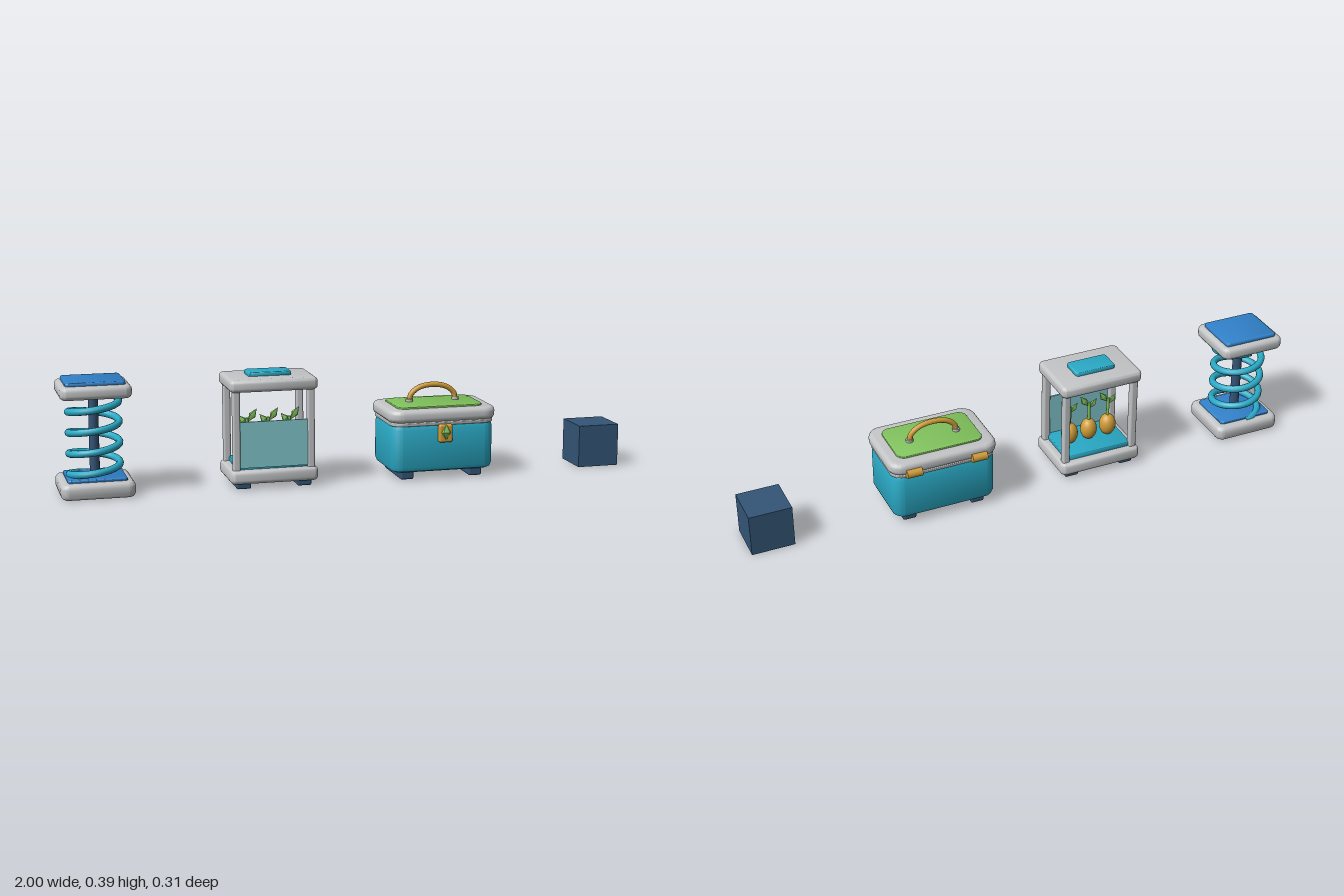
import * as THREE from 'three';
import { toCreasedNormals } from 'three/addons/utils/BufferGeometryUtils.js';
import { RoundedBoxGeometry } from 'three/addons/geometries/RoundedBoxGeometry.js';

const material = (name, color, side = THREE.FrontSide) => {
  const m = new THREE.MeshStandardMaterial({ color, side });
  m.name = name;
  return m;
};

export function createModel() {
  const grey = material('light grey', 0xc3c5c6);
  const teal = material('teal', 0x2aaac6);
  const blue = material('blue', 0x3080c8);
  const navy = material('navy', 0x345576);
  const green = material('leaf green', 0x80c25c);
  const gold = material('gold', 0xd09c38);
  const glass = material('pale glass', 0x82c8ce, THREE.DoubleSide);

  const model = new THREE.Group();
  const prop = (name, x) => {
    const g = new THREE.Group();
    g.name = name;
    g.position.set(x, 0, -0.0035);
    model.add(g);
    return g;
  };
  const add = (parent, name, geometry, mat, x = 0, y = 0, z = 0) => {
    const mesh = new THREE.Mesh(geometry, mat);
    mesh.name = name;
    mesh.position.set(x, y, z);
    parent.add(mesh);
    return mesh;
  };

  // Horizontal slab with rounded corners (r) and bevelled rims (b)
  const slab = (parent, name, mat, w, d, y0, y1, r, b, z = 0, x = 0, segments = 4) => {
    const hw = w / 2 - b, hd = d / 2 - b, c = Math.max(r - b, 0.002);
    const s = new THREE.Shape();
    s.absarc(hw - c, hd - c, c, 0, Math.PI / 2);
    s.absarc(-hw + c, hd - c, c, Math.PI / 2, Math.PI);
    s.absarc(-hw + c, -hd + c, c, Math.PI, Math.PI * 1.5);
    s.absarc(hw - c, -hd + c, c, Math.PI * 1.5, Math.PI * 2);
    s.closePath();
    const g = new THREE.ExtrudeGeometry(s, {
      depth: y1 - y0 - 2 * b, bevelEnabled: true, bevelSize: b,
      bevelThickness: b, bevelSegments: segments, curveSegments: 6,
    });
    g.rotateX(-Math.PI / 2).translate(0, b, 0);
    return add(parent, name, toCreasedNormals(g, 0.6), mat, x, y0, z);
  };

  // Pointed, flattened leaf
  const leaf = (parent, name, w, h, t, x, y, z) => {
    const g = new THREE.SphereGeometry(1, 8, 2);
    g.scale(w / 2, h / 2, t / 2);
    return add(parent, name, toCreasedNormals(g, 0.5), green, x, y, z);
  };

  // Spring platform
  const spring = prop('springPlatform', -0.875);
  slab(spring, 'springBase', grey, 0.25, 0.228, 0, 0.055, 0.03, 0.018);
  slab(spring, 'lowerPad', blue, 0.2, 0.172, 0.05, 0.065, 0.012, 0.005);
  slab(spring, 'springTop', grey, 0.24, 0.219, 0.336, 0.381, 0.03, 0.016);
  slab(spring, 'upperPad', blue, 0.2, 0.172, 0.376, 0.393, 0.012, 0.005);
  add(spring, 'centrePost', new THREE.CylinderGeometry(0.017, 0.017, 0.275, 16), navy, 0, 0.1925, 0);
  const coilPoints = [];
  for (let i = 0; i <= 96; i++) {
    const a = Math.PI + (i / 96) * Math.PI * 8;
    coilPoints.push(new THREE.Vector3(0.085 * Math.sin(a), 0.05 + 0.285 * i / 96, 0.085 * Math.cos(a)));
  }
  add(spring, 'coil', new THREE.TubeGeometry(new THREE.CatmullRomCurve3(coilPoints), 192, 0.0125, 10), teal);

  // Display case
  const displayCase = prop('displayCase', -0.275);
  slab(displayCase, 'caseBase', grey, 0.306, 0.222, 0.02, 0.067, 0.022, 0.014);
  slab(displayCase, 'caseFloor', teal, 0.25, 0.17, 0.062, 0.083, 0.012, 0.004);
  slab(displayCase, 'caseRoof', grey, 0.306, 0.219, 0.336, 0.379, 0.022, 0.014);
  slab(displayCase, 'roofPad', teal, 0.15, 0.084, 0.374, 0.393, 0.012, 0.005, -0.006);
  for (const sx of [-1, 1]) {
    add(displayCase, 'caseFoot', new RoundedBoxGeometry(0.05, 0.03, 0.18, 2, 0.006), navy, sx * 0.106, 0.015, 0);
    for (const sz of [-1, 1]) {
      add(displayCase, 'cornerPost', new RoundedBoxGeometry(0.026, 0.29, 0.027, 2, 0.007), grey, sx * 0.13, 0.2, sz * 0.082);
    }
  }
  add(displayCase, 'frontPanel', new THREE.BoxGeometry(0.236, 0.16, 0.006), glass, 0, 0.153, 0.088);

  // Sprouting seeds inside the case
  for (const x of [-0.075, 0, 0.075]) {
    const sprout = new THREE.Group();
    sprout.name = 'sprout';
    sprout.position.set(x, 0, 0);
    displayCase.add(sprout);
    const seed = add(sprout, 'seed', new THREE.SphereGeometry(0.03, 20, 14), gold, 0, 0.122, 0);
    seed.scale.y = 1.35;
    add(sprout, 'stem', new THREE.CylinderGeometry(0.005, 0.006, 0.075, 8), green, 0, 0.192, 0);
    leaf(sprout, 'leftLeaf', 0.026, 0.055, 0.014, 0.019, 0.238, 0).rotation.z = -0.6;
    leaf(sprout, 'rightLeaf', 0.024, 0.048, 0.014, -0.015, 0.222, 0).rotation.z = 0.7;
  }

  // Chest
  const chest = prop('chest', 0.3225);
  slab(chest, 'chestBody', teal, 0.374, 0.255, 0.028, 0.2, 0.045, 0.02, 0, 0, 2);
  slab(chest, 'chestRim', grey, 0.376, 0.256, 0.193, 0.207, 0.045, 0.004);
  slab(chest, 'chestLid', grey, 0.39, 0.269, 0.205, 0.249, 0.05, 0.016);
  slab(chest, 'lidPad', green, 0.31, 0.19, 0.244, 0.256, 0.03, 0.004);
  for (const s of [-1, 1]) {
    add(chest, 'chestFoot', new RoundedBoxGeometry(0.048, 0.036, 0.2, 2, 0.007), navy, s * 0.125, 0.018, 0);
    add(chest, 'hinge', new THREE.CylinderGeometry(0.015, 0.015, 0.054, 16), gold, s * 0.118, 0.213, -0.137).rotation.z = Math.PI / 2;
    add(chest, 'handleCollar', new THREE.CylinderGeometry(0.013, 0.013, 0.012, 16), grey, s * 0.085, 0.259, -0.012);
  }
  const arch = new THREE.CatmullRomCurve3([
    [-0.085, 0.256], [-0.079, 0.281], [-0.05, 0.304], [0, 0.313],
    [0.05, 0.304], [0.079, 0.281], [0.085, 0.256],
  ].map(([x, y]) => new THREE.Vector3(x, y, -0.012)));
  add(chest, 'handle', new THREE.TubeGeometry(arch, 40, 0.0095, 10), gold);
  add(chest, 'latch', new RoundedBoxGeometry(0.05, 0.064, 0.022, 3, 0.008), gold, 0, 0.167, 0.1375);
  leaf(chest, 'latchLeaf', 0.034, 0.058, 0.022, 0, 0.171, 0.148);

  // Plain block
  const block = prop('block', 0.925);
  add(block, 'cube', new THREE.BoxGeometry(0.15, 0.15, 0.15), navy, 0, 0.075, 0);

  return model;
}
